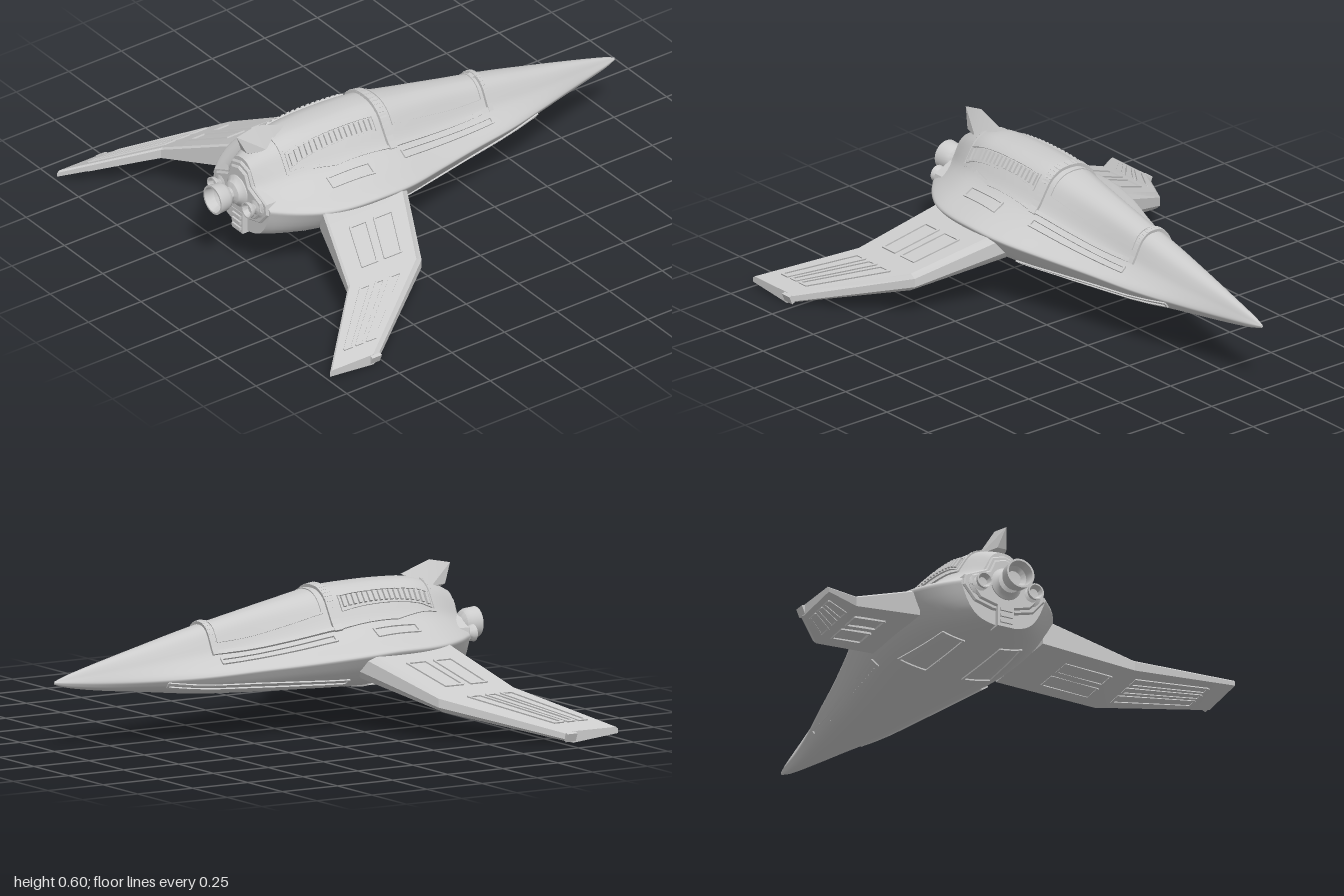
import * as THREE from 'three';
import { mergeGeometries, toCreasedNormals } from 'three/addons/utils/BufferGeometryUtils.js';
import { ConvexGeometry } from 'three/addons/geometries/ConvexGeometry.js';

const V = (x, y, z) => new THREE.Vector3(x, y, z);
const lerp = THREE.MathUtils.lerp;
const material = new THREE.MeshStandardMaterial({ color: 0xcccccc });

function add(parent, name, geometry) {
  const mesh = new THREE.Mesh(geometry, material);
  mesh.name = name;
  parent.add(mesh);
  return mesh;
}

// Skin between closed rings of points, with flat caps at both ends.
function loft(rings, crease) {
  const n = rings[0].length, last = rings.length - 1, pos = [], idx = [];
  [...rings, rings[0], rings[last]].forEach(r => r.forEach(p => pos.push(p.x, p.y, p.z)));
  for (let i = 0; i < last; i++) for (let j = 0; j < n; j++) {
    const a = i * n + j, b = i * n + (j + 1) % n;
    idx.push(a, b, b + n, a, b + n, a + n);
  }
  for (let j = 1; j < n - 1; j++) {
    const s = (last + 1) * n, e = s + n;
    idx.push(s, s + j + 1, s + j, e, e + j, e + j + 1);
  }
  const g = new THREE.BufferGeometry();
  g.setAttribute('position', new THREE.Float32BufferAttribute(pos, 3));
  g.setIndex(idx);
  if (crease) return toCreasedNormals(g, crease);
  g.computeVertexNormals();
  return g;
}

// Hull stations: z, half width, top, edge height, bottom.
const STATIONS = [
  [-1, 0.005, 0.272, 0.267, 0.26], [-0.96, 0.018, 0.287, 0.266, 0.247], [-0.9, 0.031, 0.304, 0.263, 0.235],
  [-0.8, 0.052, 0.33, 0.259, 0.22], [-0.6, 0.105, 0.378, 0.257, 0.198], [-0.4, 0.163, 0.425, 0.262, 0.176],
  [-0.2, 0.213, 0.466, 0.273, 0.165], [0, 0.27, 0.505, 0.288, 0.159], [0.2, 0.33, 0.54, 0.308, 0.154],
  [0.35, 0.348, 0.547, 0.32, 0.152], [0.5, 0.338, 0.547, 0.32, 0.152], [0.6, 0.31, 0.54, 0.32, 0.154],
  [0.7, 0.248, 0.51, 0.32, 0.157], [0.77, 0.185, 0.475, 0.32, 0.162]];
const station = new THREE.CubicInterpolant(
  new Float32Array(STATIONS.map(s => s[0])), new Float32Array(STATIONS.flatMap(s => s.slice(1))), 4);

// Half section, top to bottom, as fractions of width and height.
const HALF = 36;
const PROFILE = new THREE.CatmullRomCurve3([[0, 1], [0.13, 0.98], [0.27, 0.87], [0.38, 0.65], [0.5, 0.4], [0.72, 0.2],
  [0.94, 0.06], [1, 0], [0.97, -0.13], [0.8, -0.58], [0.6, -0.84], [0.3, -0.97], [0, -1]]
  .map(p => V(p[0], p[1], 0))).getPoints(HALF);

function halfSection(z) {
  const [w, top, edge, bottom] = station.evaluate(z);
  const round = 0.55 * (1 - THREE.MathUtils.smoothstep(z, -0.85, -0.1));
  return PROFILE.map((p, i) => {
    const a = Math.PI * i / HALF;
    const u = lerp(p.x, Math.sin(a), round), v = lerp(p.y, Math.cos(a), round);
    return V(w * u, edge + v * (v > 0 ? top - edge : edge - bottom), z);
  });
}

// Point on the hull above (up = 1) or below (up = -1) a given x, z.
function hullSurface(up) {
  const f = (x, z) => {
    const pts = halfSection(z), ax = Math.abs(x);
    if (up < 0) pts.reverse();
    const i = Math.max(1, pts.findIndex(p => p.x >= ax));
    const a = pts[i - 1], b = pts[i];
    return V(x, lerp(a.y, b.y, THREE.MathUtils.clamp((ax - a.x) / (b.x - a.x), 0, 1)), z);
  };
  f.up = up;
  return f;
}

// Wing stations: x, leading z, trailing z, top, leading bottom, trailing bottom.
const WING = [[0.27, 0.195, 0.595, 0.335, 0.215, 0.225], [0.61, 0.36, 0.71, 0.185, 0.115, 0.14], [0.89, 0.77, 1, 0.045, 0, 0.02]];

// Point on a wing: t runs along the span, c from leading to trailing edge.
function wingSurface(side, up) {
  const f = (t, c) => {
    const i = t < 0.5 ? 0 : 1, k = t * 2 - i;
    const [x, z0, z1, top, b0, b1] = WING[i].map((v, j) => lerp(v, WING[i + 1][j], k));
    return V(side * x, up > 0 ? top : lerp(b0, b1, c), lerp(z0, z1, c));
  };
  f.up = up;
  return f;
}

// Thin bar that follows a surface from a to b.
function rail(surface, a, b, width = 0.01, height = 0.012, n = 6) {
  const at = k => [lerp(a[0], b[0], k), lerp(a[1], b[1], k)], parts = [];
  for (let i = 0; i < n; i++) {
    const p = surface(...at(i / n)), q = surface(...at((i + 1) / n)), [u, v] = at((i + 0.5) / n), e = 0.004;
    const normal = surface(u + e, v).sub(surface(u - e, v)).cross(surface(u, v + e).sub(surface(u, v - e)));
    if (normal.y * surface.up < 0) normal.negate();
    const along = q.clone().sub(p), length = along.length();
    along.normalize();
    normal.addScaledVector(along, -normal.dot(along)).normalize();
    const m = new THREE.Matrix4().makeBasis(along, normal, along.clone().cross(normal)).setPosition(p.add(q).multiplyScalar(0.5));
    parts.push(new THREE.BoxGeometry(length + width * 0.5, height, width).applyMatrix4(m));
  }
  return mergeGeometries(parts);
}

function frame(surface, corners, width, height, n) {
  return mergeGeometries(corners.map((c, i) => rail(surface, c, corners[(i + 1) % corners.length], width, height, n)));
}

// Lathe about the z axis; points are [radius, z].
function turned(points, x, y, sides = 32) {
  const g = new THREE.LatheGeometry(points.map(p => new THREE.Vector2(p[0], p[1])), sides);
  return toCreasedNormals(g.rotateX(Math.PI / 2).translate(x, y, 0), 0.6);
}

export function createModel() {
  const model = new THREE.Group();
  model.name = 'spaceFighter';

  // Hull
  const rings = [];
  for (let i = 0; i <= 70; i++) {
    const right = halfSection(Math.min(0.77, -1 + 1.77 * i / 70)).reverse();
    const left = right.slice(1, -1).reverse().map(p => V(-p.x, p.y, p.z));
    rings.push([...right, ...left]);
  }
  add(model, 'hull', loft(rings));

  // Canopy frame, arch and spine cover
  const top = hullSurface(1), belly = hullSurface(-1);
  add(model, 'canopyArch', rail(top, [-0.17, 0.18], [0.17, 0.18], 0.035, 0.024, 24));
  add(model, 'canopyFrontFrame', rail(top, [-0.1, -0.335], [0.1, -0.335], 0.022, 0.024, 16));
  add(model, 'canopyWindow', frame(top, [[-0.08, -0.31], [0.08, -0.31], [0.118, 0.14], [-0.118, 0.14]], 0.007, 0.009, 12));
  add(model, 'canopyLatch', new THREE.BoxGeometry(0.03, 0.012, 0.03).rotateX(0.2).translate(0, 0.44, -0.315));
  add(model, 'spineRearFrame', rail(top, [-0.13, 0.645], [0.13, 0.645], 0.012, 0.012, 16));

  for (const s of [1, -1]) {
    const side = s > 0 ? 'left' : 'right';
    const m = pts => pts.map(([x, z]) => [s * x, z]);

    add(model, side + 'CanopyRail', rail(top, [s * 0.098, -0.335], [s * 0.168, 0.18], 0.016, 0.02, 12));
    add(model, side + 'SlotFrame', frame(top, m([[0.122, -0.32], [0.14, -0.32], [0.215, 0.15], [0.188, 0.15]]), 0.008, 0.014));
    add(model, side + 'SpineEdge', mergeGeometries([
      rail(top, [s * 0.17, 0.2], [s * 0.17, 0.45], 0.012, 0.014), rail(top, [s * 0.17, 0.45], [s * 0.13, 0.645], 0.012, 0.014)]));
    add(model, side + 'HatchFrame', frame(top, m([[0.205, 0.32], [0.248, 0.32], [0.24, 0.51], [0.2, 0.51]]), 0.008, 0.012));

    // Row of vent slats in a frame
    const slats = [];
    for (let i = 0; i < 17; i++) {
      const z = 0.24 + i * 0.0235;
      slats.push(rail(top, [s * 0.1, z], [s * 0.122, z], 0.012, 0.022, 1));
    }
    add(model, side + 'VentSlats', mergeGeometries(slats));
    add(model, side + 'VentFrame', frame(top, m([[0.093, 0.225], [0.13, 0.225], [0.126, 0.632], [0.093, 0.632]]), 0.006, 0.012, 8));

    // Belly strakes and panel
    add(model, side + 'BellyStrake', frame(belly, m([[0.1, -0.55], [0.112, -0.55], [0.25, 0.18], [0.225, 0.18]]), 0.008, 0.012, 8));
    add(model, side + 'BellyPanel', frame(belly, m([[0.08, 0.3], [0.2, 0.3], [0.17, 0.6], [0.08, 0.6]]), 0.009, 0.012));

    // Cranked wing with a bevelled leading edge
    const wing = new THREE.Group();
    wing.name = side + 'Wing';
    model.add(wing);
    const wingRings = WING.map(([x, z0, z1, y, b0, b1]) => {
      const ring = [V(s * x, b0, z0 + 0.025), V(s * x, lerp(b0, y, 0.3), z0), V(s * x, lerp(b0, y, 0.8), z0),
        V(s * x, y, z0 + 0.025), V(s * x, y, z1 - 0.01), V(s * x, y - 0.008, z1), V(s * x, b1, z1)];
      return s > 0 ? ring : ring.reverse();
    });
    add(wing, 'wingPanel', loft(wingRings, 0.3));
    add(wing, 'wingTipCap', new THREE.BoxGeometry(0.014, 0.036, 0.045).rotateZ(-s * 0.4).translate(s * 0.89, 0.024, 0.785));
    for (const up of [1, -1]) {
      const w = wingSurface(s, up), bars = [];
      for (const [t0, t1, c0, c1] of [[0.19, 0.43, 0.24, 0.46], [0.19, 0.43, 0.56, 0.76],
        [0.55, 0.9, 0.22, 0.38], [0.55, 0.9, 0.46, 0.58], [0.55, 0.9, 0.66, 0.8]]) {
        bars.push(frame(w, [[t0, c0], [t1, c0], [t1, c1], [t0, c1]], 0.008, 0.012, 1));
      }
      add(wing, up > 0 ? 'upperPanelFrames' : 'lowerPanelFrames', mergeGeometries(bars));
    }

    // Small thruster
    add(model, side + 'Thruster', turned([[0, 0.75], [0.045, 0.75], [0.045, 0.782], [0.03, 0.79], [0.017, 0.795], [0.02, 0.803],
      [0.031, 0.815], [0.034, 0.83], [0.028, 0.83], [0.018, 0.81], [0, 0.808]], s * 0.112, 0.315, 24));
  }

  // Tail fin
  add(model, 'tailFin', toCreasedNormals(new ConvexGeometry([V(0, 0.552, 0.57), V(0, 0.597, 0.7), V(0, 0.577, 0.795),
    V(0, 0.48, 0.735), V(0.048, 0.5, 0.68), V(-0.048, 0.5, 0.68), V(0.02, 0.5, 0.76), V(-0.02, 0.5, 0.76)]), 0.3));

  // Stepped plates around the engines
  const outline = [[0, 0.455], [0.05, 0.44], [0.075, 0.385], [0.165, 0.345], [0.172, 0.305], [0.125, 0.25], [0.05, 0.23], [0, 0.23]];
  [[1, 0.78], [0.85, 0.79]].forEach(([k, z], i) => {
    const pts = [...outline, ...outline.slice(1, -1).reverse().map(([x, y]) => [-x, y])]
      .map(([x, y]) => new THREE.Vector2(x * k, 0.33 + (y - 0.33) * k));
    const plate = new THREE.ExtrudeGeometry(new THREE.Shape(pts), {
      depth: 0.04, bevelEnabled: true, bevelThickness: 0.006, bevelSize: 0.006, bevelSegments: 1 });
    add(model, i ? 'innerEnginePlate' : 'outerEnginePlate', plate.translate(0, 0, z - 0.046));
  });

  // Main engine bell and the intake block under it
  add(model, 'mainEngine', turned([[0, 0.76], [0.065, 0.76], [0.065, 0.795], [0.052, 0.805], [0.045, 0.818], [0.026, 0.826],
    [0.028, 0.838], [0.047, 0.848], [0.056, 0.865], [0.06, 0.91], [0.052, 0.91], [0.046, 0.87], [0.03, 0.855], [0, 0.853]], 0, 0.335));
  add(model, 'intakeBlock', new THREE.BoxGeometry(0.07, 0.09, 0.06).translate(0, 0.2, 0.762));
  for (const y of [0.175, 0.2, 0.225]) {
    add(model, 'intakeSlat', new THREE.BoxGeometry(0.052, 0.012, 0.012).translate(0, y, 0.794));
  }
  return model;
}
